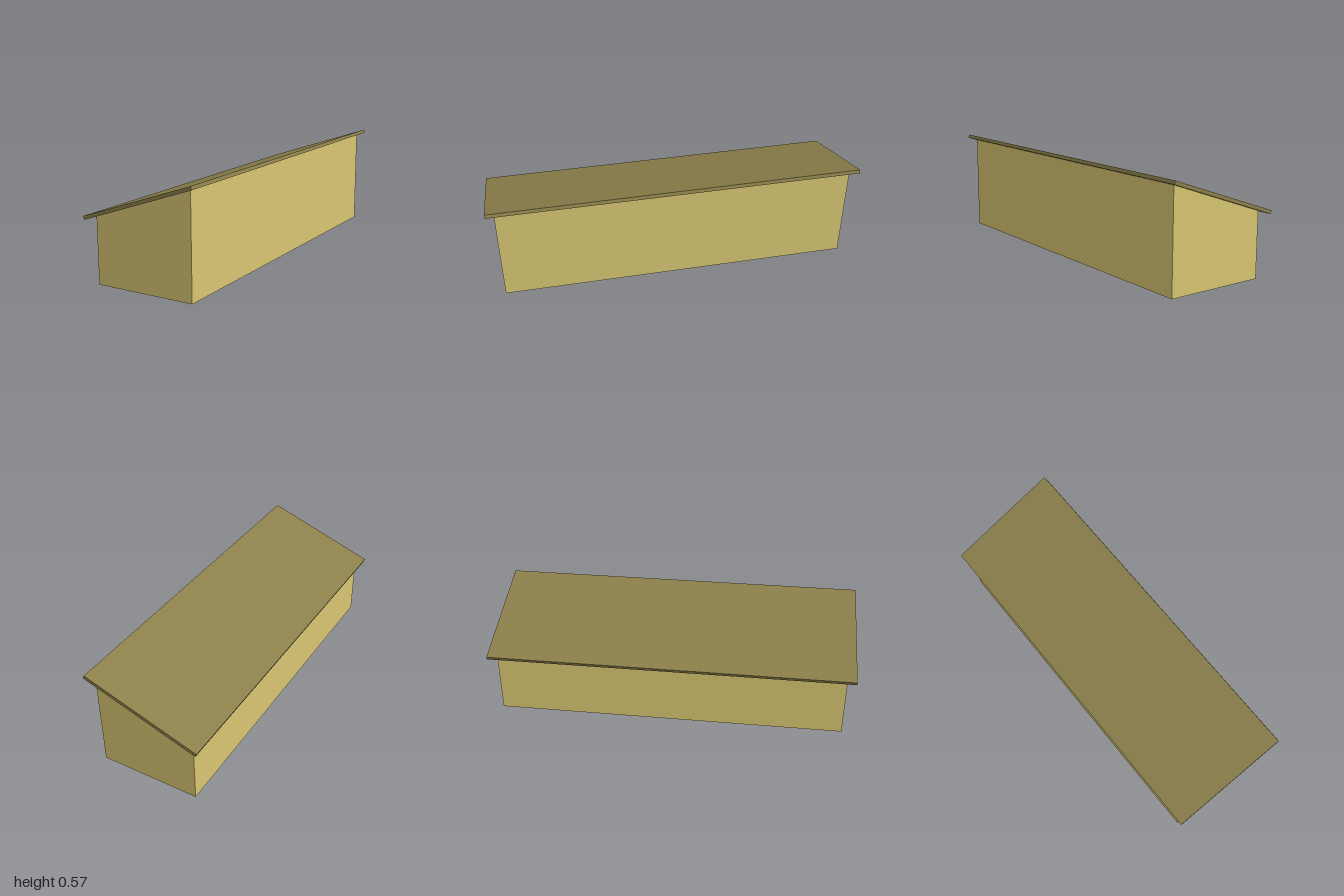
import * as THREE from 'three';

const X0 = -0.273, X1 = 0.283, HALF_Z = 0.955, WALL = 0.02;
// Height of the sloping roof underside
const eave = x => 0.338 + (x + 0.313) * (0.218 / 0.633);

export function createModel() {
  const group = new THREE.Group();
  const wallMat = new THREE.MeshStandardMaterial({ color: 0xd8c672 });
  const roofMat = new THREE.MeshStandardMaterial({ color: 0x8b7f4a });
  const floorMat = new THREE.MeshStandardMaterial({ color: 0x8a8a8a });

  // Extrudes an x-y profile from z0 to z1
  const slab = (name, points, z0, z1, material) => {
    const shape = new THREE.Shape(points.map(([x, y]) => new THREE.Vector2(x, y)));
    const geometry = new THREE.ExtrudeGeometry(shape, { depth: z1 - z0, bevelEnabled: false });
    geometry.translate(0, 0, z0);
    const mesh = new THREE.Mesh(geometry, material);
    mesh.name = name;
    group.add(mesh);
  };
  // Wall profile between two x positions, cut to the roof slope
  const under = (a, b) => [[a, 0], [b, 0], [b, eave(b)], [a, eave(a)]];
  const inner = HALF_Z - WALL;

  // Four walls
  slab('frontWall', under(X0, X1), inner, HALF_Z, wallMat);
  slab('backWall', under(X0, X1), -HALF_Z, -inner, wallMat);
  slab('rightWall', under(X0, X0 + WALL), -inner, inner, wallMat);
  slab('leftWall', under(X1 - WALL, X1), -inner, inner, wallMat);

  // Floor panel set between the walls
  const a = X0 + WALL, b = X1 - WALL;
  slab('floor', [[a, 0], [b, 0], [b, WALL], [a, WALL]], -inner, inner, floorMat);

  // Single-pitch roof overhanging all sides
  slab('roof', [[-0.313, 0.338], [0.32, 0.556], [0.313, 0.574], [-0.32, 0.356]], -1, 1, roofMat);

  return group;
}
